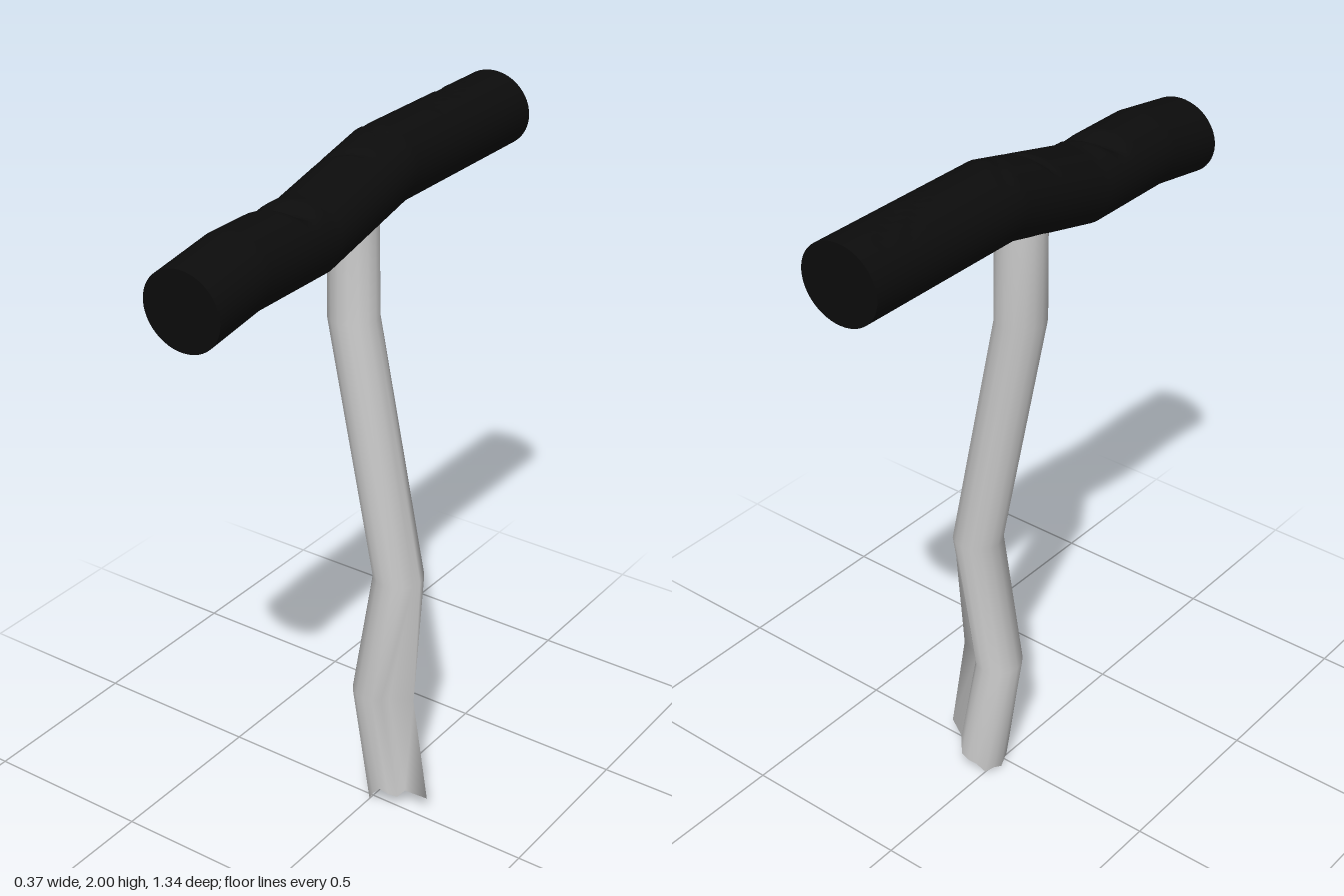
import * as THREE from 'three';

// Skin a list of rings (arrays of [x, y, z], same count each) into a smooth closed-around surface
function skin(rings) {
  const n = rings[0].length, pos = [], idx = [];
  rings.forEach((r) => r.forEach((p) => pos.push(...p)));
  for (let i = 0; i < rings.length - 1; i++) {
    for (let j = 0; j < n; j++) {
      const a = i * n + j, b = i * n + (j + 1) % n;
      idx.push(a, a + n, b, b, a + n, b + n);
    }
  }
  const g = new THREE.BufferGeometry();
  g.setAttribute('position', new THREE.Float32BufferAttribute(pos, 3));
  g.setIndex(idx);
  g.computeVertexNormals();
  return g;
}

// Piecewise linear lookup in [key, value] pairs with ascending keys
function lerpTable(t, table) {
  for (let i = 1; i < table.length; i++) {
    const [k0, v0] = table[i - 1], [k1, v1] = table[i];
    if (t <= k1) return v0 + (v1 - v0) * (t - k0) / (k1 - k0);
  }
  return table[table.length - 1][1];
}

// Gouges in the top of the grip: x0, z0, x1, z1, half width, depth
const GOUGES = [
  [-0.13, -0.6, -0.05, -0.43, 0.012, 0.01],
  [-0.155, -0.53, -0.03, -0.32, 0.012, 0.01],
  [-0.15, -0.17, -0.04, -0.09, 0.014, 0.012],
  [-0.155, 0.025, -0.015, -0.02, 0.014, 0.012],
  [-0.155, 0.305, 0.01, 0.255, 0.04, 0.028],
];

function gougeDepth(x, z) {
  let depth = 0;
  for (const [x0, z0, x1, z1, w, d] of GOUGES) {
    const dx = x1 - x0, dz = z1 - z0;
    const t = ((x - x0) * dx + (z - z0) * dz) / (dx * dx + dz * dz);
    if (t <= 0 || t >= 1) continue;
    const dist = Math.hypot(x - x0 - t * dx, z - z0 - t * dz);
    const taper = Math.sqrt(Math.sin(Math.PI * t));
    depth = Math.max(depth, d * taper * Math.max(0, 1 - dist / w));
  }
  return depth;
}

const CX = -0.07, RX = 0.115, RY = 0.105;
const GRIP_Y = [[-0.67, 1.895], [-0.13, 1.895], [0.2, 1.815], [0.48, 1.815], [0.67, 1.785]];

function buildGrip(material) {
  const group = new THREE.Group();
  group.name = 'grip';
  const rings = [], steps = 134, sides = 48;
  for (let i = 0; i <= steps; i++) {
    const z = -0.67 + 1.34 * i / steps, cy = lerpTable(z, GRIP_Y), ring = [];
    for (let j = 0; j < sides; j++) {
      const a = -j / sides * Math.PI * 2;
      const x = CX + RX * Math.cos(a), s = Math.sin(a);
      ring.push([x, cy + RY * s - (s > 0.2 ? gougeDepth(x, z) : 0), z]);
    }
    rings.push(ring);
  }
  const body = new THREE.Mesh(skin(rings), material);
  body.name = 'gripBody';
  group.add(body);
  // Flat ends
  for (const side of [-1, 1]) {
    const cap = new THREE.Mesh(new THREE.CircleGeometry(1, sides), material);
    cap.name = side > 0 ? 'frontCap' : 'backCap';
    cap.scale.set(RX, RY, 1);
    cap.position.set(CX, lerpTable(side * 0.67, GRIP_Y), side * 0.67);
    if (side < 0) cap.rotation.y = Math.PI;
    group.add(cap);
  }
  return group;
}

function buildShaft(material) {
  // Heights of the torn lower rim, going round from the ridge at +x
  const rim = [0.06, 0.06, 0.045, 0.06, 0.07, 0.04, 0, 0.02, 0, 0.01, 0, 0.03, 0.035, 0.04, 0.08, 0.055];
  // Each station: y, centre x, centre z, radius, ridge reach past the radius, crease amount
  const stations = [
    [0, 0.05, -0.03, 0.07, 0.06, 1],
    [0.38, 0.005, -0.012, 0.07, 0.055, 0.8],
    [0.78, 0.076, -0.012, 0.071, 0, 0],
    [1.52, -0.07, -0.012, 0.07, 0, 0],
    [1.85, -0.07, -0.012, 0.068, 0, 0],
  ];
  const rings = stations.map(([y, cx, cz, r, reach, crease], i) => rim.map((h, j) => {
    const a = j / rim.length * Math.PI * 2;
    const away = Math.min(j, rim.length - j);
    const pinch = 1 - crease * (away === 1 ? 0.12 : away === 2 ? 0.1 : 0);
    const rr = r * pinch + (j === 0 ? reach : 0);
    const z = j === 0 ? -0.012 : cz + rr * Math.sin(a);
    return [cx + rr * Math.cos(a), i === 0 ? h : y, z];
  }));
  const shaft = new THREE.Mesh(skin(rings), material);
  shaft.name = 'shaft';
  return shaft;
}

export function createModel() {
  const model = new THREE.Group();
  model.name = 'brokenHandle';
  const grey = new THREE.MeshStandardMaterial({ color: 0xcccccc, side: THREE.DoubleSide });
  const black = new THREE.MeshStandardMaterial({ color: 0x0c0c0c });
  model.add(buildShaft(grey), buildGrip(black));
  return model;
}
